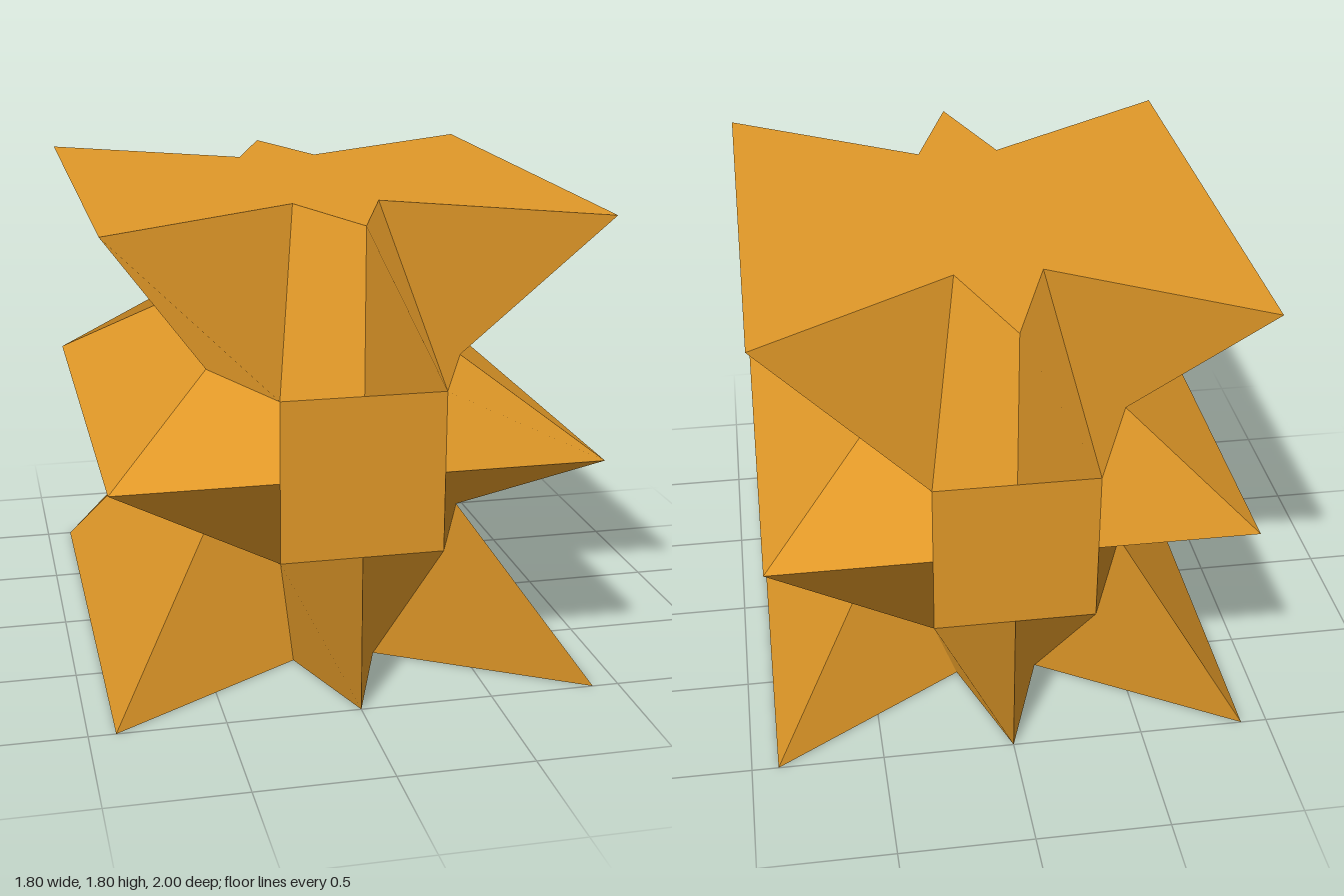
import * as THREE from 'three';

// Key points of one eighth of the star block (x, y from mid height, z)
const P = {
  topMid: [0, 0.9, 0], topInner: [0.16, 0.9, 0], topOuter: [0.9, 0.9, 0],
  spikeTip: [0, 0.9, 1], topNotch: [0.16, 0.9, 0.545], cornerTip: [0.9, 0.9, 1],
  sideNotch: [0.485, 0.3, 0.545], sideNotchMid: [0.485, 0.3, 0],
  sideTip: [0.9, 0, 1], sideRidgeMid: [0.9, 0, 0],
  bossCentre: [0, 0, 1], bossSide: [0.3, 0, 1], bossCorner: [0.3, 0.3, 1], bossTop: [0, 0.3, 1],
};

// Four-cornered faces of each part, counter-clockwise from outside
const PARTS = {
  endFace: [['bossCentre', 'bossSide', 'bossCorner', 'bossTop']],
  centreSpike: [['bossTop', 'bossCorner', 'topNotch', 'spikeTip']],
  cornerSpike: [
    ['bossCorner', 'sideNotch', 'cornerTip', 'topNotch'],
    ['cornerTip', 'sideNotch', 'sideNotchMid', 'topOuter'],
  ],
  sideSpike: [
    ['bossSide', 'sideTip', 'sideNotch', 'bossCorner'],
    ['sideNotch', 'sideTip', 'sideRidgeMid', 'sideNotchMid'],
  ],
  capPlate: [
    ['topMid', 'spikeTip', 'topNotch', 'topInner'],
    ['topInner', 'topNotch', 'cornerTip', 'topOuter'],
  ],
};

// Each face folds along its second diagonal and shares one average normal
function facesGeometry(faces, mirror) {
  const positions = [], normals = [];
  for (const names of faces) {
    let q = names.map((n) => new THREE.Vector3(...P[n]));
    if (mirror) {
      q.forEach((v) => { v.x = -v.x; });
      q.reverse();
    }
    const normal = q[2].clone().sub(q[0]).cross(q[3].clone().sub(q[1])).normalize();
    for (const i of [0, 1, 3, 1, 2, 3]) {
      positions.push(...q[i].toArray());
      normals.push(...normal.toArray());
    }
  }
  const g = new THREE.BufferGeometry();
  g.setAttribute('position', new THREE.Float32BufferAttribute(positions, 3));
  g.setAttribute('normal', new THREE.Float32BufferAttribute(normals, 3));
  return g;
}

export function createModel() {
  const amber = new THREE.MeshStandardMaterial({ color: 0xe09828 });
  amber.name = 'amber';
  const model = new THREE.Group();
  model.name = 'starBlock';

  // Half-turns about each axis fill in the back and the underside
  const turns = {
    upperFront: [0, 0, 0],
    lowerFront: [0, 0, Math.PI],
    upperBack: [0, Math.PI, 0],
    lowerBack: [Math.PI, 0, 0],
  };
  for (const [name, turn] of Object.entries(turns)) {
    const quarter = new THREE.Group();
    quarter.name = name;
    quarter.rotation.set(...turn);
    quarter.position.y = 0.9;
    for (const [part, faces] of Object.entries(PARTS)) {
      for (const mirror of [false, true]) {
        const mesh = new THREE.Mesh(facesGeometry(faces, mirror), amber);
        mesh.name = part;
        quarter.add(mesh);
      }
    }
    model.add(quarter);
  }
  return model;
}
